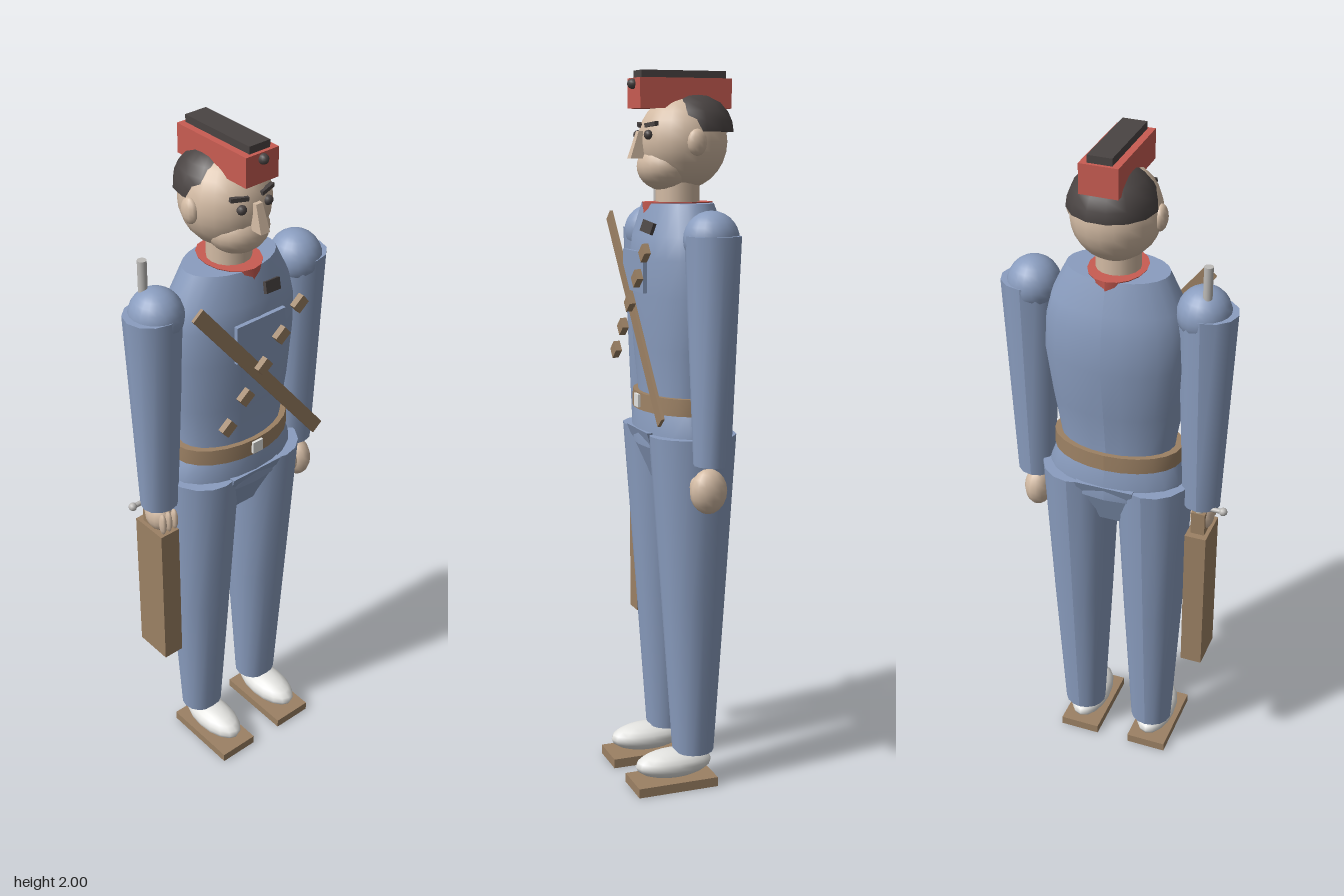
import * as THREE from 'three';

const mat = (name, color) => {
  const m = new THREE.MeshStandardMaterial({ color });
  m.name = name;
  return m;
};

// Closed stack of elliptical rings, each [y, radiusX, radiusZ, centreZ]
function loft(rings, segs = 20, start = Math.PI) {
  const n = rings.length - 1;
  const g = new THREE.CylinderGeometry(1, 1, 1, segs, n, false, start);
  const p = g.attributes.position;
  for (let i = 0; i < p.count; i++) {
    const [y, rx, rz, cz = 0] = rings[Math.round((p.getY(i) + 0.5) * n)];
    p.setXYZ(i, p.getX(i) * rx, y, p.getZ(i) * rz + cz);
  }
  g.computeVertexNormals();
  return g;
}

export function createModel() {
  const blue = mat('uniformBlue', 0x8a9dbf);
  const red = mat('red', 0xc85c52);
  const brown = mat('leatherBrown', 0x9c8164);
  const dark = mat('darkGrey', 0x4a4443);
  const skin = mat('skin', 0xd3bba4);
  const white = mat('white', 0xe4e4e1);
  const steel = mat('steel', 0xbdbbb8);

  const model = new THREE.Group();
  model.name = 'uniformedFigure';
  const add = (name, geo, material, x = 0, y = 0, z = 0) => {
    const m = new THREE.Mesh(geo, material);
    m.name = name;
    m.position.set(x, y, z);
    model.add(m);
    return m;
  };
  const box = (name, material, w, h, d, x, y, z) =>
    add(name, new THREE.BoxGeometry(w, h, d), material, x, y, z);
  const ball = (name, material, rx, ry, rz, x, y, z, ws = 20, hs = 14) =>
    add(name, new THREE.SphereGeometry(1, ws, hs).scale(rx, ry, rz), material, x, y, z);

  // Jacket, hips and belt
  add('torso', loft([
    [1.04, 0.165, 0.105, -0.01], [1.13, 0.165, 0.102, -0.01], [1.25, 0.185, 0.115, -0.012],
    [1.4, 0.203, 0.13, -0.018], [1.5, 0.2, 0.127, -0.014], [1.56, 0.185, 0.118, -0.012],
    [1.648, 0.14, 0.092, -0.01],
  ], 24), blue);
  add('hips', loft([[0.98, 0.195, 0.118, -0.012], [1.03, 0.2, 0.12, -0.012], [1.09, 0.175, 0.11, -0.01]], 20), blue);
  add('crotchPanel', loft([
    [0.88, 0.065 * Math.SQRT2, 0.07 * Math.SQRT2, -0.012],
    [1.025, 0.085 * Math.SQRT2, 0.124 * Math.SQRT2, -0.012],
  ], 4, Math.PI / 4).toNonIndexed(), blue).geometry.computeVertexNormals();
  add('belt', loft([[1.08, 0.185, 0.118, -0.01], [1.127, 0.185, 0.116, -0.01]], 24), brown);
  box('buckle', white, 0.034, 0.036, 0.008, 0, 1.105, 0.11);

  // Neckerchief, chest pocket and badge
  add('neckerchief', loft([[1.57, 0.03, 0.099, -0.01], [1.651, 0.078, 0.1, -0.01]], 16), red);
  box('chestPocket', blue, 0.165, 0.11, 0.012, 0, 1.465, 0.115);
  const badge = box('badge', dark, 0.058, 0.032, 0.01, 0.055, 1.585, 0.096);
  badge.rotation.set(-0.3, 0.2, -0.1);

  // Diagonal strap with a row of pouches crossing it
  const strapAngle = Math.atan2(-0.54, 0.43);
  box('shoulderStrap', brown, 0.68, 0.04, 0.009, 0.002, 1.342, 0.1175).rotation.z = strapAngle;
  for (let i = -2; i <= 2; i++) {
    box('pouch', brown, 0.032, 0.04, 0.018, i * 0.061, 1.377 + i * 0.072, 0.13).rotation.z = strapAngle;
  }

  // Neck and head
  add('neck', new THREE.CylinderGeometry(0.06, 0.06, 0.12, 16), skin, 0, 1.67, -0.01);
  ball('head', skin, 0.12, 0.128, 0.123, 0, 1.812, -0.025);
  ball('jaw', skin, 0.085, 0.066, 0.078, 0, 1.746, 0.025);
  add('nose', loft([[1.767, 0.021, 0.026, 0.112], [1.84, 0.015, 0.014, 0.096]], 4, Math.PI / 4)
    .toNonIndexed(), skin).geometry.computeVertexNormals();
  const hair = new THREE.SphereGeometry(0.118, 14, 6, 0, Math.PI * 2, 0, Math.PI / 2);
  hair.scale(1, 0.93, 1);
  add('hair', hair, dark, 0, 1.838, -0.05);
  add('hairUnderside', new THREE.CircleGeometry(0.118, 14).rotateX(Math.PI / 2), dark, 0, 1.838, -0.05);
  for (const s of [-1, 1]) {
    ball('eye', dark, 0.014, 0.013, 0.012, s * 0.043, 1.83, 0.09, 10, 8);
    const brow = box('eyebrow', dark, 0.05, 0.011, 0.012, s * 0.045, 1.857, 0.082);
    brow.rotation.set(0, s * 0.25, s * 0.1);
    ball('ear', skin, 0.018, 0.036, 0.028, s * 0.117, 1.81, -0.022, 12, 8);
  }

  // Cap
  box('cap', red, 0.104, 0.08, 0.263, 0, 1.94, -0.016);
  box('capTop', dark, 0.066, 0.022, 0.243, 0, 1.989, -0.0165);
  ball('capButton', dark, 0.014, 0.014, 0.016, 0, 1.964, 0.118, 10, 8);

  for (const s of [-1, 1]) {
    // Arms
    ball('shoulder', blue, 0.073, 0.075, 0.075, s * 0.237, 1.56, -0.015);
    const arm = loft([[-0.305, 0.054, 0.05, 0], [0.305, 0.081, 0.075, 0]], 12);
    add('arm', arm, blue, s * 0.248, 1.265, -0.015);

    // Trouser legs
    add('leg', loft([
      [0.1, 0.062, 0.059, -0.016], [0.55, 0.086, 0.09, -0.015], [1.02, 0.108, 0.123, -0.013],
    ], 16), blue, s * 0.11);

    // Shoes
    ball('shoe', white, 0.056, 0.041, 0.114, s * 0.11, 0.066, 0.043, 16, 10);
    box('sole', brown, 0.121, 0.027, 0.238, s * 0.111, 0.0135, 0.049);
  }

  // Open left hand, right hand gripping the rifle
  ball('leftHand', skin, 0.04, 0.062, 0.052, 0.25, 0.888, -0.005, 14, 10);
  ball('leftThumb', skin, 0.014, 0.028, 0.016, 0.217, 0.895, 0.02, 10, 8);
  ball('rightHand', skin, 0.034, 0.048, 0.046, -0.253, 0.92, -0.015, 14, 10);
  for (let i = 0; i < 3; i++) {
    ball('finger', skin, 0.009, 0.035, 0.014, -0.273 + i * 0.02, 0.92, 0.03, 8, 6);
  }

  // Rifle held muzzle up along the right arm
  add('rifleBarrel', new THREE.CylinderGeometry(0.0125, 0.0125, 0.83, 12), steel, -0.253, 1.295, -0.045);
  box('rifleGrip', brown, 0.04, 0.08, 0.05, -0.253, 0.91, -0.035);
  box('rifleStock', brown, 0.062, 0.46, 0.115, -0.253, 0.65, -0.022);
  add('rifleBolt', new THREE.CylinderGeometry(0.007, 0.007, 0.08, 8).rotateZ(Math.PI / 2), steel, -0.285, 0.963, -0.042);
  ball('rifleBoltKnob', steel, 0.012, 0.012, 0.012, -0.32, 0.963, -0.042, 10, 8);

  return model;
}
